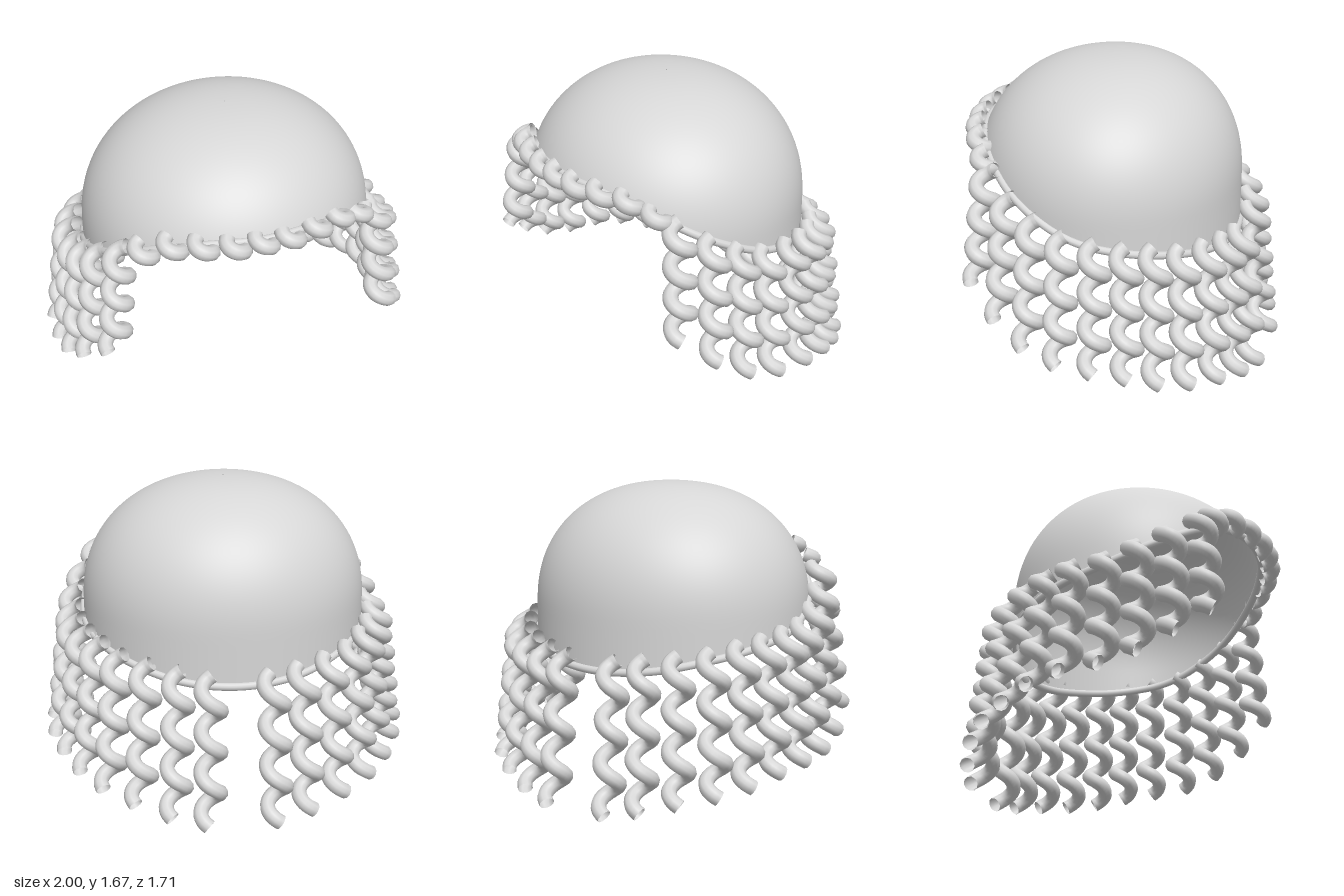
import * as THREE from 'three';

const CAP_TOP = 1.67, CAP_MID = 1.0, CAP_Z = 0.07, POWER = 2.2;
// Height of the cap edge at even steps from the front (0) to the back (PI)
const EDGE = [1.285, 1.275, 1.2, 1.06, 0.93, 0.865, 0.81, 0.755, 0.735];

// Long curls on one side: x, z, top, bottom
const LONG = [
  [0.16, -0.69, 0.81, 0.035], [0.32, -0.65, 0.83, 0.07], [0.48, -0.58, 0.85, 0.12],
  [0.62, -0.48, 0.87, 0.16], [0.72, -0.36, 0.90, 0.20], [0.79, -0.23, 0.92, 0.25],
  [0.83, -0.08, 0.94, 0.28], [0.83, 0.09, 0.96, 0.30], [0.81, 0.25, 1.02, 0.36],
  [0.76, 0.40, 1.10, 0.47], [0.67, 0.54, 1.20, 0.61],
];
// Every long curl winds the same number of times, so shorter ones are tighter
const LONG_TURNS = 3.5;
// Short fringe curls: x, z, middle height
const SHORT = [[0, 0.77, 1.29], [0.14, 0.76, 1.285], [0.29, 0.72, 1.285], [0.43, 0.66, 1.275], [0.56, 0.59, 1.22]];

function edgeHeight(theta) {
  const a = Math.abs(Math.atan2(Math.sin(theta), Math.cos(theta))) / Math.PI * (EDGE.length - 1);
  const i = Math.min(Math.floor(a), EDGE.length - 2), f = a - i;
  const at = (k) => EDGE[k < 0 ? -k : k >= EDGE.length ? 2 * EDGE.length - 2 - k : k];
  const p0 = at(i - 1), p1 = at(i), p2 = at(i + 1), p3 = at(i + 2);
  return p1 + 0.5 * f * (p2 - p0 + f * (2 * p0 - 5 * p1 + 4 * p2 - p3 + f * (3 * (p1 - p2) + p3 - p0)));
}

// Point on the cap surface
function capPoint(theta, y) {
  const h = Math.max(0, (y - CAP_MID) / (CAP_TOP - CAP_MID));
  const r = Math.pow(Math.max(0, 1 - Math.pow(h, POWER)), 1 / POWER);
  const c = Math.cos(theta);
  return new THREE.Vector3(0.77 * r * Math.sin(theta), y, CAP_Z + (c > 0 ? 0.73 : 0.70) * r * c);
}

// Dome from the crown down to the slanted edge
function capGeometry(around = 96, down = 32) {
  const pos = [], index = [];
  for (let j = 0; j <= down; j++) {
    for (let i = 0; i < around; i++) {
      const theta = (i / around) * Math.PI * 2;
      const y = CAP_TOP - (CAP_TOP - edgeHeight(theta)) * Math.pow(Math.max(j, 0.05) / down, 2);
      pos.push(...capPoint(theta, y).toArray());
      if (j < down) {
        const n = (i + 1) % around, a = j * around + i, b = j * around + n;
        index.push(a, a + around, b, b, a + around, b + around);
      }
    }
  }
  const g = new THREE.BufferGeometry();
  g.setAttribute('position', new THREE.Float32BufferAttribute(pos, 3));
  g.setIndex(index);
  g.computeVertexNormals();
  return g;
}

// Left-handed helix hanging from (x, z), leaning outward towards its end
function curlGeometry({ x, z, top, bottom, startAngle, turns, radius, lean }) {
  const out = new THREE.Vector3(x, 0, z - CAP_Z).normalize();
  const side = new THREE.Vector3(0, 1, 0).cross(out);
  const steps = Math.max(8, Math.ceil(turns * 12));
  const points = [];
  for (let i = 0; i <= steps; i++) {
    const t = i / steps;
    const angle = startAngle - t * turns * Math.PI * 2;
    points.push(new THREE.Vector3(x, THREE.MathUtils.lerp(top, bottom, t), z)
      .addScaledVector(out, lean * t + radius * Math.sin(angle))
      .addScaledVector(side, radius * Math.cos(angle)));
  }
  return new THREE.TubeGeometry(new THREE.CatmullRomCurve3(points), steps * 2, 0.04, 10);
}

export function createModel() {
  const model = new THREE.Group();
  model.name = 'curlyWig';
  const hair = new THREE.MeshStandardMaterial({ color: 0xd6d6d6, side: THREE.DoubleSide });
  hair.name = 'plain grey';
  const add = (name, geometry, parent = model) => {
    const mesh = new THREE.Mesh(geometry, hair);
    mesh.name = name;
    parent.add(mesh);
  };

  add('cap', capGeometry());

  // Rolled band along the edge
  const rim = [];
  for (let i = 0; i < 48; i++) {
    const theta = (i / 48) * Math.PI * 2;
    rim.push(capPoint(theta, edgeHeight(theta)));
  }
  add('edgeBand', new THREE.TubeGeometry(new THREE.CatmullRomCurve3(rim, true), 144, 0.021, 10, true));

  // Long curls around the sides and back
  const longCurls = new THREE.Group();
  longCurls.name = 'longCurls';
  model.add(longCurls);
  for (const s of [1, -1]) {
    for (const [x, z, top, bottom] of LONG) {
      add('longCurl', curlGeometry({
        x: s * x, z, top, bottom, startAngle: Math.PI * 1.5, turns: LONG_TURNS, radius: 0.051, lean: 0.08,
      }), longCurls);
    }
  }

  // Short fringe curls over the forehead
  const fringe = new THREE.Group();
  fringe.name = 'fringe';
  model.add(fringe);
  for (const [x, z, y] of SHORT) {
    for (const s of x ? [1, -1] : [1]) {
      add('fringeCurl', curlGeometry({
        x: s * x, z, top: y + 0.036, bottom: y - 0.036, startAngle: Math.PI * 1.15, turns: 0.65, radius: 0.045, lean: 0,
      }), fringe);
    }
  }
  return model;
}
